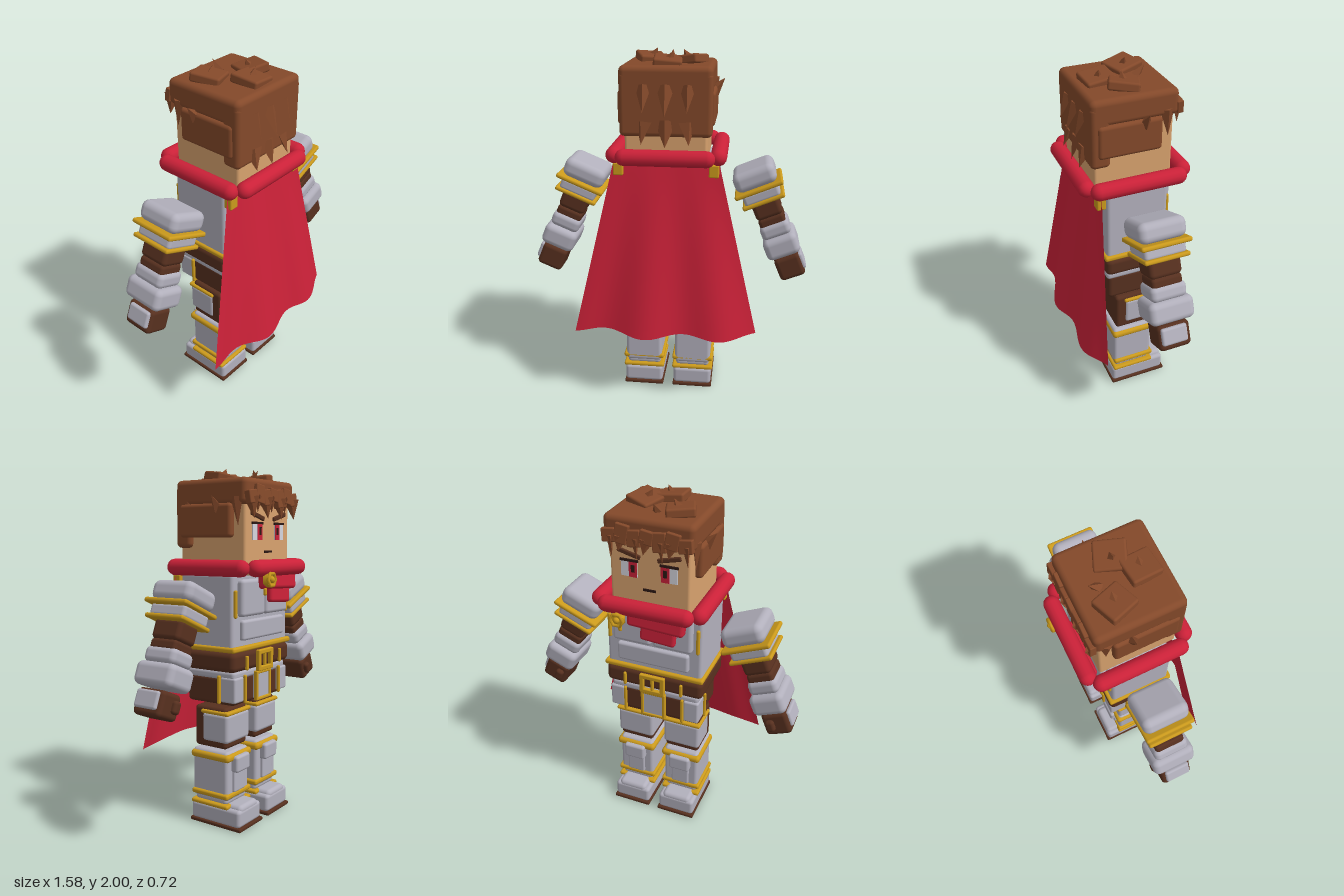
import * as THREE from 'three';
import { RoundedBoxGeometry } from 'three/addons/geometries/RoundedBoxGeometry.js';

const mat = (name, color, side = THREE.FrontSide) => {
  const m = new THREE.MeshStandardMaterial({ color, side });
  m.name = name;
  return m;
};

export function createModel() {
  const steel = mat('steel', 0xb2b0bc), gold = mat('gold', 0xcb9a1c);
  const leather = mat('leather', 0x57301f), hair = mat('hair', 0x84492a);
  const skin = mat('skin', 0xd8a26e), red = mat('red cloth', 0xcb2138, THREE.DoubleSide);
  const white = mat('eye white', 0xd6d6de), dark = mat('dark', 0x2c1814);

  const model = new THREE.Group();
  const group = (name, parent = model) => {
    const g = new THREE.Group();
    g.name = name;
    parent.add(g);
    return g;
  };
  const add = (parent, name, geo, m, p, r = [0, 0, 0]) => {
    const mesh = new THREE.Mesh(geo, m);
    mesh.name = name;
    mesh.position.set(...p);
    mesh.rotation.set(...r);
    parent.add(mesh);
    return mesh;
  };
  // rounded block given by size and centre
  const block = (parent, name, m, s, p, r, radius = 0.02) =>
    add(parent, name, new RoundedBoxGeometry(...s, 3, Math.min(radius, Math.min(...s) * 0.45)), m, p, r);
  // block given by min and max on each axis
  const span = (parent, name, m, x0, x1, y0, y1, z0, z1, radius = 0.02) =>
    block(parent, name, m, [x1 - x0, y1 - y0, z1 - z0],
      [(x0 + x1) / 2, (y0 + y1) / 2, (z0 + z1) / 2], [0, 0, 0], radius);
  // flattened pyramid lock of hair running from base to tip
  const lock = (parent, name, base, tip, width, thick) => {
    const a = new THREE.Vector3(...base), d = new THREE.Vector3(...tip).sub(a), len = d.length();
    const geo = new THREE.ConeGeometry(1, len, 4).toNonIndexed();
    geo.translate(0, len / 2, 0).scale(width, 1, thick);
    geo.computeVertexNormals();
    const mesh = add(parent, name, geo, hair, base);
    mesh.quaternion.setFromUnitVectors(new THREE.Vector3(0, 1, 0), d.normalize());
  };

  // Head and face (the face looks toward -z)
  const head = group('head');
  span(head, 'face', skin, -0.22, 0.22, 1.42, 1.86, -0.235, 0.195, 0.015);
  for (const s of [-1, 1]) {
    const z = -0.237;
    add(head, 'eyeWhite', new THREE.BoxGeometry(0.09, 0.085, 0.008), white, [s * 0.11, 1.65, z]);
    add(head, 'iris', new THREE.BoxGeometry(0.045, 0.085, 0.008), red, [s * 0.088, 1.65, z - 0.003]);
    add(head, 'pupil', new THREE.BoxGeometry(0.02, 0.04, 0.008), dark, [s * 0.088, 1.655, z - 0.005]);
    add(head, 'eyelid', new THREE.BoxGeometry(0.1, 0.012, 0.009), dark, [s * 0.11, 1.697, z - 0.003]);
    block(head, 'eyebrow', leather, [0.13, 0.025, 0.015], [s * 0.11, 1.735, z - 0.003], [0, 0, s * 0.25]);
  }
  add(head, 'mouth', new THREE.BoxGeometry(0.07, 0.013, 0.008), dark, [0, 1.545, -0.237]);

  // Hair: cap, back, sideburn slabs and pointed locks
  const hairdo = group('hair', head);
  span(hairdo, 'cap', hair, -0.245, 0.245, 1.79, 1.93, -0.255, 0.215, 0.03);
  span(hairdo, 'backHair', hair, -0.245, 0.245, 1.565, 1.9, 0.11, 0.215, 0.025);
  for (const s of [-1, 1]) {
    block(hairdo, 'sideHair', hair, [0.05, 0.18, 0.345], [s * 0.232, 1.71, 0.008]);
    lock(hairdo, 'sideLock', [s * 0.235, 1.77, -0.07], [s * 0.295, 1.84, -0.07], 0.035, 0.035);
    lock(hairdo, 'templeLock', [s * 0.235, 1.83, -0.19], [s * 0.235, 1.68, -0.2], 0.025, 0.04);
    lock(hairdo, 'backLock', [s * 0.115, 1.83, 0.2], [s * 0.115, 1.7, 0.255], 0.045, 0.03);
    lock(hairdo, 'napeLock', [s * 0.115, 1.64, 0.2], [s * 0.125, 1.53, 0.24], 0.05, 0.03);
  }
  lock(hairdo, 'backLock', [0, 1.83, 0.2], [0, 1.68, 0.265], 0.05, 0.03);
  lock(hairdo, 'napeLock', [0, 1.65, 0.2], [0, 1.515, 0.24], 0.06, 0.03);
  for (let i = 0; i < 7; i++) {
    const x = -0.205 + i * 0.068, dx = i % 2 ? 0.02 : -0.015;
    block(hairdo, 'fringe', hair, [0.075, 0.07 + (i % 3) * 0.015, 0.035],
      [x, 1.83 + (i % 2) * 0.015, -0.262], [0.1, 0, i % 2 ? 0.15 : -0.12], 0.006);
    lock(hairdo, 'fringeLock', [x, 1.83, -0.262], [x + dx, i % 2 ? 1.75 : 1.72, -0.27], 0.042, 0.02);
  }
  [[-0.11, -0.09, 0.35, 0.12], [0.11, -0.01, -0.4, -0.12], [0, 0.09, 0.08, 0.1]].forEach(([x, z, turn, tilt]) => {
    block(hairdo, 'crownTuft', hair, [0.15, 0.05, 0.16], [x, 1.94, z], [tilt, turn, -tilt], 0.012);
    lock(hairdo, 'crownLock', [x, 1.93, z], [x + tilt * 0.3, 1.995, z], 0.04, 0.04);
  });
  lock(hairdo, 'crownLock', [0, 1.92, -0.12], [0, 1.98, -0.17], 0.03, 0.03);

  // Rolled collar, scarf and brooch
  const collar = group('collar');
  const roll = (len, p, r) => add(collar, 'collarRoll', new THREE.CapsuleGeometry(0.045, len, 6, 14), red, p, r);
  for (const s of [-1, 1]) roll(0.44, [s * 0.28, 1.46, -0.03], [Math.PI / 2, 0, 0]);
  for (const z of [-0.3, 0.24]) roll(0.44, [0, 1.46, z], [0, 0, Math.PI / 2]);
  block(collar, 'scarfFold', red, [0.32, 0.09, 0.06], [-0.05, 1.385, -0.27], [0.1, 0, 0.04]);
  block(collar, 'scarfEnd', red, [0.2, 0.1, 0.04], [-0.06, 1.315, -0.27], [0.05, 0, 0.06]);
  const brooch = group('brooch', collar);
  add(brooch, 'broochPlate', new THREE.CylinderGeometry(0.042, 0.042, 0.03, 6), gold, [0.14, 1.4, -0.335], [Math.PI / 2, 0, 0]);
  add(brooch, 'broochRim', new THREE.TorusGeometry(0.036, 0.01, 6, 6), gold, [0.14, 1.4, -0.35]);
  add(brooch, 'broochStud', new THREE.SphereGeometry(0.018, 12, 8), gold, [0.14, 1.4, -0.35]);
  block(brooch, 'broochDrop', gold, [0.02, 0.04, 0.02], [0.14, 1.335, -0.31]);

  // Torso armour
  const torso = group('torso');
  span(torso, 'cuirass', steel, -0.28, 0.28, 1.02, 1.43, -0.195, 0.15);
  span(torso, 'waistTrim', gold, -0.295, 0.295, 1.01, 1.04, -0.215, 0.165, 0.012);
  span(torso, 'bellyPlate', steel, -0.21, 0.21, 1.07, 1.18, -0.22, -0.17, 0.015);
  for (const s of [-1, 1]) {
    block(torso, 'chestPlate', steel, [0.225, 0.2, 0.06], [s * 0.118, 1.3, -0.2]);
    block(torso, 'chestTrim', gold, [0.02, 0.15, 0.02], [s * 0.258, 1.27, -0.2]);
    block(torso, 'capeClasp', gold, [0.055, 0.07, 0.05], [s * 0.258, 1.385, 0.18], [0, 0, 0], 0.008);
  }

  // Belt, hips and hanging plates
  const hips = group('hips');
  span(hips, 'belt', leather, -0.29, 0.29, 0.9, 1.01, -0.21, 0.155, 0.03);
  span(hips, 'hipPlate', steel, -0.265, 0.265, 0.855, 0.905, -0.195, 0.145);
  span(hips, 'trousers', leather, -0.255, 0.255, 0.71, 0.87, -0.185, 0.135, 0.025);
  const frame = (name, w, h, x, y, z, t) => {
    for (const s of [-1, 1]) {
      block(hips, name, gold, [t, h, 0.025], [x + s * (w - t) / 2, y, z], [0, 0, 0], 0.006);
      block(hips, name, gold, [w, t, 0.025], [x, y + s * (h - t) / 2, z], [0, 0, 0], 0.006);
    }
  };
  frame('buckle', 0.15, 0.12, 0, 0.945, -0.222, 0.026);
  block(hips, 'bucklePin', gold, [0.02, 0.1, 0.02], [0, 0.945, -0.222]);
  block(hips, 'tabard', steel, [0.13, 0.15, 0.03], [0, 0.8, -0.198], [0, 0, 0], 0.008);
  frame('tabardTrim', 0.15, 0.17, 0, 0.8, -0.208, 0.018);
  for (const s of [-1, 1]) {
    block(hips, 'cornerTasset', steel, [0.09, 0.14, 0.1], [s * 0.225, 0.8, -0.155], [0, 0, 0], 0.012);
    block(hips, 'tassetTrim', gold, [0.018, 0.16, 0.02], [s * 0.175, 0.8, -0.207]);
    block(hips, 'tassetTrim', gold, [0.02, 0.16, 0.018], [s * 0.272, 0.8, -0.1]);
    block(hips, 'tassetTrim', gold, [0.018, 0.08, 0.02], [s * 0.17, 0.945, -0.215]);
  }

  // Arms: pieces stacked along a slanted axis, [name, material, w, h, d, distance]
  for (const s of [-1, 1]) {
    const arm = group(s > 0 ? 'leftArm' : 'rightArm');
    arm.position.set(s * 0.475, 1.32, -0.028);
    arm.rotation.z = s * 0.4;
    [['shoulderPad', steel, 0.24, 0.11, 0.26, 0, 0.04],
      ['padTrim', gold, 0.28, 0.026, 0.275, 0.066, 0.012],
      ['shoulderPlate', steel, 0.21, 0.07, 0.23, 0.105, 0.02],
      ['plateTrim', gold, 0.245, 0.024, 0.25, 0.142, 0.012],
      ['upperArm', leather, 0.155, 0.11, 0.18, 0.195, 0.025],
      ['elbow', leather, 0.15, 0.06, 0.17, 0.275, 0.02],
      ['elbowGuard', steel, 0.17, 0.085, 0.2, 0.33, 0.03],
      ['forearmGuard', steel, 0.195, 0.125, 0.25, 0.43, 0.035],
      ['hand', leather, 0.15, 0.14, 0.18, 0.572, 0.025],
    ].forEach(([n, m, w, h, d, y, r]) => block(arm, n, m, [w, h, d], [0, -y, 0], [0, 0, 0], r));
    block(arm, 'handPlate', steel, [0.03, 0.095, 0.145], [s * 0.075, -0.56, 0.005]);
    block(arm, 'thumb', leather, [0.05, 0.07, 0.04], [-s * 0.03, -0.57, -0.095]);
  }

  // Legs
  for (const s of [-1, 1]) {
    const leg = group(s > 0 ? 'leftLeg' : 'rightLeg');
    leg.position.x = s * 0.147;
    const part = (n, m, w, ...rest) => span(leg, n, m, -w, w, ...rest);
    part('sole', leather, 0.118, 0, 0.022, -0.235, 0.115, 0.008);
    part('boot', steel, 0.113, 0.018, 0.12, -0.225, 0.11);
    part('toeCap', steel, 0.09, 0.07, 0.14, -0.222, -0.11, 0.025);
    part('ankleTrim', gold, 0.122, 0.113, 0.138, -0.15, 0.105, 0.012);
    part('ankle', steel, 0.1, 0.13, 0.175, -0.13, 0.09);
    part('shinTrim', gold, 0.122, 0.17, 0.2, -0.15, 0.1, 0.012);
    part('shin', steel, 0.107, 0.155, 0.44, -0.14, 0.1);
    part('shinPlate', steel, 0.055, 0.2, 0.33, -0.155, -0.12, 0.01);
    part('kneeTrim', gold, 0.122, 0.385, 0.428, -0.157, 0.107);
    part('kneePlate', steel, 0.065, 0.32, 0.415, -0.182, -0.13, 0.015);
    part('thigh', leather, 0.104, 0.455, 0.69, -0.13, 0.085);
    part('thighPlate', steel, 0.112, 0.49, 0.655, -0.145, 0.03);
    part('thighTrim', gold, 0.118, 0.65, 0.672, -0.152, 0.035, 0.01);
  }

  // Cape: flared sheet whose folds deepen toward the hem
  const cape = new THREE.PlaneGeometry(2, 1, 48, 16), pos = cape.attributes.position;
  for (let i = 0; i < pos.count; i++) {
    const u = pos.getX(i), t = 0.5 - pos.getY(i);
    const fold = Math.cos((u + 0.22) * 7.5);
    pos.setXYZ(i, u * (0.285 + 0.23 * t), 1.425 - t * (0.975 + 0.014 * fold),
      0.18 + t * (0.15 + 0.022 * fold - 0.065 * u * u));
  }
  cape.computeVertexNormals();
  add(model, 'cape', cape, red, [0, 0, 0]);
  return model;
}
